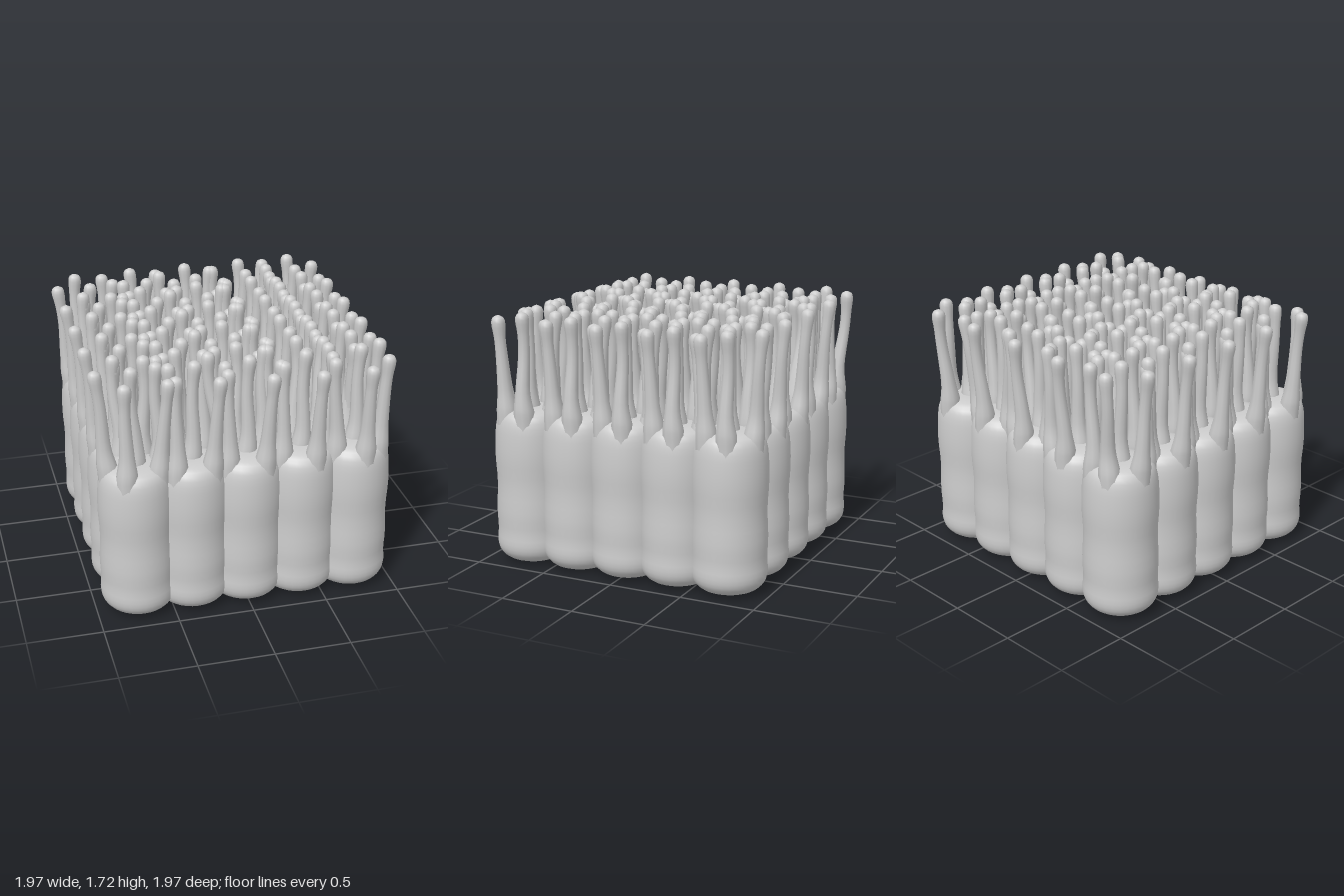
import * as THREE from 'three';
import { mergeVertices } from 'three/addons/utils/BufferGeometryUtils.js';

const PITCH_X = 0.3625, PITCH_Z = 0.36;

// Finger tips for each file of columns: [x, z relative to column centre]
const TIPS = [
  [[-0.95, 0], [-0.80, -0.205], [-0.615, -0.155], [-0.56, -0.04], [-0.52, 0.14], [-0.795, 0.15]],
  [[-0.40, -0.22], [-0.23, -0.15], [-0.49, 0], [-0.135, 0.035], [-0.47, 0.125], [-0.20, 0.17]],
  [[0, -0.22], [0.16, -0.125], [0.215, 0.075], [0.135, 0.195], [-0.135, 0.11], [-0.21, -0.11]],
  [[0.40, -0.22], [0.565, -0.165], [0.56, 0.05], [0.45, 0.215], [0.23, 0.09], [0.18, -0.12]],
  [[0.77, -0.22], [0.905, -0.05], [0.905, 0.13], [0.77, 0.22], [0.56, 0.11], [0.565, -0.06]],
];
const CENTRE_TIP = [-0.01, 0.03, 0.02, 0.025, 0.03];

// Smooth lathe from a few [radius, height] points
function softLathe(points, steps, sides) {
  const curve = new THREE.SplineCurve(points.map(([r, y]) => new THREE.Vector2(r, y)));
  const profile = curve.getPoints(steps);
  profile.forEach((p) => { p.x = Math.max(p.x, 0); });
  return new THREE.LatheGeometry(profile, sides);
}

// Weld the seam so normals stay smooth all round
function weld(geometry) {
  geometry.deleteAttribute('uv');
  geometry.deleteAttribute('normal');
  const welded = mergeVertices(geometry, 1e-5);
  welded.computeVertexNormals();
  return welded;
}

// Gently rippled trunk with a rounded foot
function bodyGeometry() {
  return weld(softLathe([
    [0, 0], [0.10, 0.006], [0.18, 0.028], [0.23, 0.075], [0.246, 0.14], [0.24, 0.23],
    [0.245, 0.36], [0.237, 0.55], [0.246, 0.72], [0.243, 0.86], [0.23, 0.97],
    [0.195, 1.035], [0.11, 1.06], [0, 1.06],
  ], 32, 32));
}

// Flared finger with a bulbous tip, bent from its base to its tip
function fingerGeometry(base, tip, height, sway) {
  const geometry = softLathe([
    [0.066, 0.9], [0.07, 1.02], [0.062, 1.09], [0.05, 1.17], [0.043, 1.3], [0.038, 1.45],
    [0.038, height - 0.14], [0.045, height - 0.06], [0.036, height - 0.018], [0, height],
  ], 20, 10);
  const pos = geometry.attributes.position;
  for (let i = 0; i < pos.count; i++) {
    const t = THREE.MathUtils.clamp((pos.getY(i) - 1) / (height - 0.05 - 1), 0, 1);
    const lean = t * t * (3 - 2 * t) * 0.5 + t * 0.5;
    const wave = sway * Math.sin(t * Math.PI * 2) * (1 - t * 0.4);
    pos.setX(i, pos.getX(i) + THREE.MathUtils.lerp(base[0], tip[0], lean) + wave);
    pos.setZ(i, pos.getZ(i) + THREE.MathUtils.lerp(base[1], tip[1], lean) + wave * 0.3);
  }
  return weld(geometry);
}

export function createModel() {
  const model = new THREE.Group();
  model.name = 'fingeredColumnBlock';
  const material = new THREE.MeshStandardMaterial({ color: 0xcccccc });
  const body = bodyGeometry();

  TIPS.forEach((tips, i) => {
    const cx = (i - 2) * PITCH_X + 0.01;

    // Central finger, then the ring of six around it
    const fingers = [fingerGeometry([0, 0], [CENTRE_TIP[i], 0], 1.715, 0.012)];
    tips.forEach(([x, z], k) => {
      const tip = [x - cx, z];
      const reach = 0.168 / Math.hypot(tip[0], tip[1]);
      const height = 1.715 - 0.28 * Math.max(0, z);
      const sway = z > 0.08 ? 0.004 : (k % 2 ? 0.014 : -0.012);
      fingers.push(fingerGeometry([tip[0] * reach, tip[1] * reach], tip, height, sway));
    });

    // Same column repeated from back to front
    for (let j = 0; j < 5; j++) {
      const column = new THREE.Group();
      column.name = `column_${i + 1}_${j + 1}`;
      column.position.set(cx, 0, (j - 2) * PITCH_Z);
      const trunk = new THREE.Mesh(body, material);
      trunk.name = 'trunk';
      column.add(trunk);
      fingers.forEach((geometry, k) => {
        const finger = new THREE.Mesh(geometry, material);
        finger.name = k ? `ringFinger_${k}` : 'centreFinger';
        column.add(finger);
      });
      model.add(column);
    }
  });
  return model;
}
